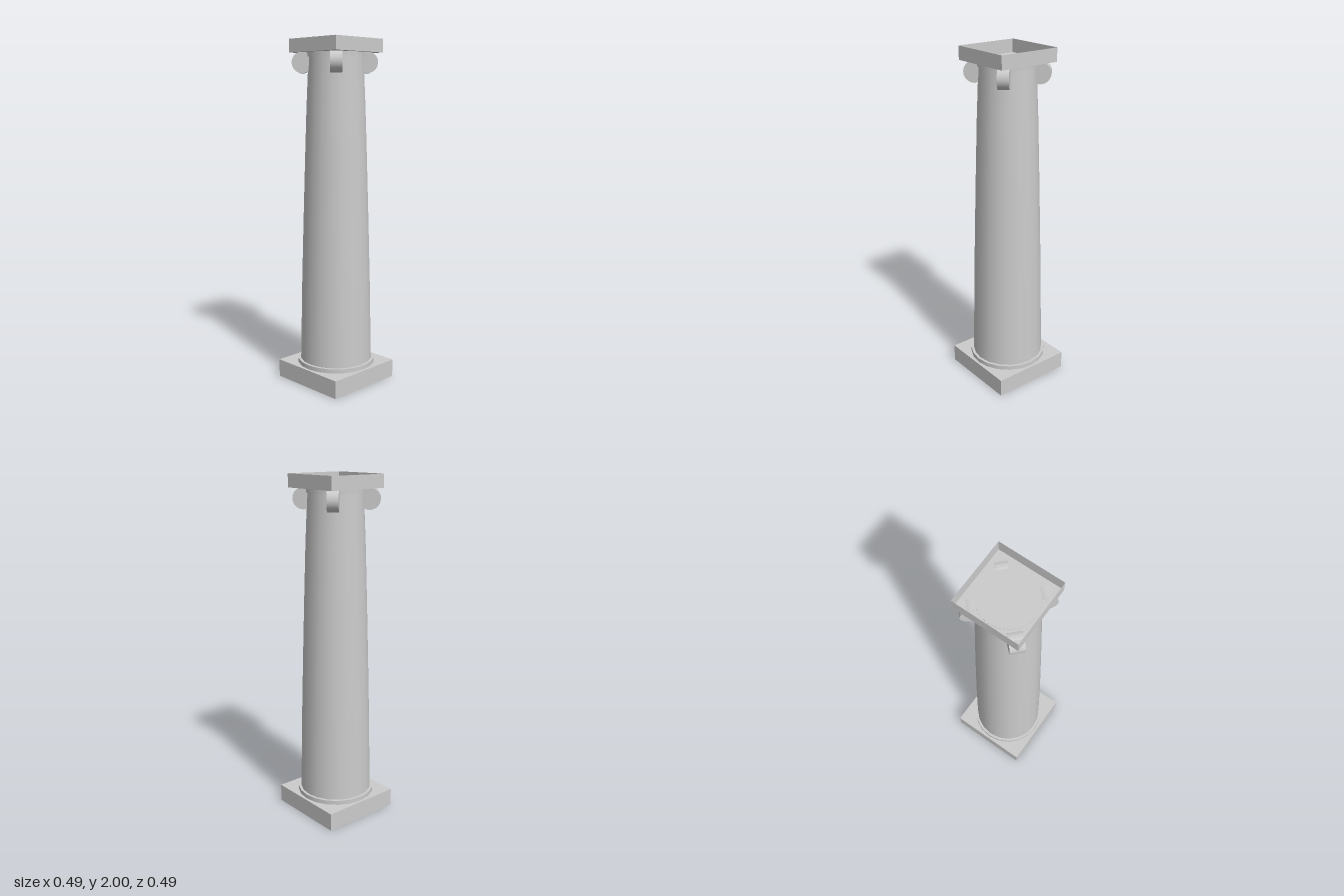
import * as THREE from 'three';

const SIDES = 20;
const grey = new THREE.MeshStandardMaterial({ color: 0xcccccc, side: THREE.DoubleSide });

function add(parent, name, geometry, x = 0, y = 0, z = 0) {
  const mesh = new THREE.Mesh(geometry, grey);
  mesh.name = name;
  mesh.position.set(x, y, z);
  parent.add(mesh);
  return mesh;
}

// Thin-walled square slab with one face left out (2 = top, 3 = bottom)
function openSlab(width, height, openFace) {
  const geometry = new THREE.BoxGeometry(width, height, width);
  const index = Array.from(geometry.index.array);
  index.splice(openFace * 6, 6);
  geometry.setIndex(index);
  geometry.clearGroups();
  return geometry;
}

export function createModel() {
  const column = new THREE.Group();
  column.name = 'column';

  // Square foot, hollow from below
  add(column, 'plinth', openSlab(0.484, 0.105, 3), 0, 0.0525).rotation.y = -0.01;
  add(column, 'baseRing', new THREE.CylinderGeometry(0.228, 0.228, 0.03, SIDES), 0, 0.115);

  // Tapering shaft with a gentle swelling
  const profile = [
    [0.213, 0.1], [0.212, 0.13], [0.202, 0.6], [0.192, 0.95],
    [0.181, 1.3], [0.17, 1.62], [0.157, 1.9], [0.157, 1.927],
  ].map(([r, y]) => new THREE.Vector2(r, y));
  add(column, 'shaft', new THREE.LatheGeometry(profile, SIDES));
  for (const [name, p, tilt] of [
    ['shaftBottom', profile[0], Math.PI / 2],
    ['shaftTop', profile[profile.length - 1], -Math.PI / 2],
  ]) {
    const cap = new THREE.CircleGeometry(p.x, SIDES);
    cap.rotateX(tilt);
    add(column, name, cap, 0, p.y);
  }

  // Capital: neck ring, and a square slab open at the top
  add(column, 'neckRing', new THREE.CylinderGeometry(0.165, 0.165, 0.024, SIDES, 1, true), 0, 1.912);
  add(column, 'abacus', openSlab(0.374, 0.076, 2), 0, 1.962).rotation.y = -0.006;

  // Four corner scrolls: signs of x and z, distance from the axis, width
  const scrolls = [[1, 1, 0.177, 0.066], [1, -1, 0.177, 0.063], [-1, -1, 0.178, 0.064], [-1, 1, 0.19, 0.076]];
  for (const [sx, sz, distance, width] of scrolls) {
    const geometry = new THREE.CylinderGeometry(0.06, 0.06, width, SIDES);
    geometry.rotateZ(Math.PI / 2);
    const d = distance * Math.SQRT1_2;
    add(column, 'scroll', geometry, sx * d, 1.868, sz * d).rotation.y = Math.atan2(sx, sz);
  }

  return column;
}
